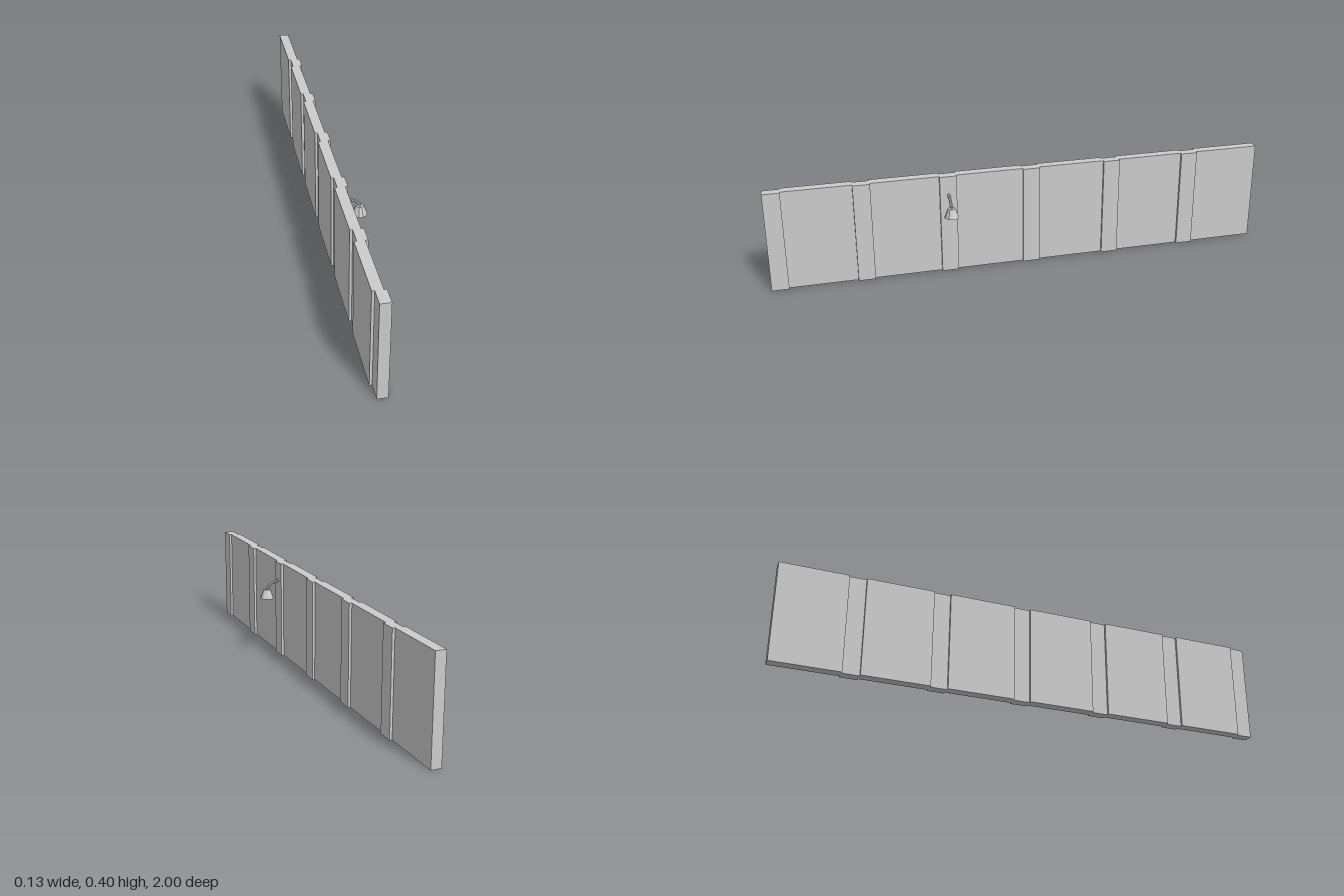
import * as THREE from 'three';

const material = new THREE.MeshStandardMaterial({ color: 0xcccccc, flatShading: true });

function addMesh(parent, name, geometry) {
  const mesh = new THREE.Mesh(geometry, material);
  mesh.name = name;
  parent.add(mesh);
  return mesh;
}

// Stepped wall: six bays, each a narrow rib offset from a wide panel
function wallGeometry() {
  const bays = 6, pitch = 2 / bays, rib = 0.0667;
  const height = 0.4, thickness = 0.04, panelX = -0.067, ribX = -0.057;
  const front = [], back = [];
  const addStrip = (x, z0, z1) => {
    for (const z of [z0, z1]) {
      back.push(new THREE.Vector2(x, -z));
      front.push(new THREE.Vector2(x + thickness, -z));
    }
  };
  for (let i = 0; i < bays; i++) {
    const z = 1 - i * pitch;
    addStrip(ribX, z, z - rib);
    addStrip(panelX, z - rib, z - pitch);
  }
  const plan = new THREE.Shape([...front, ...back.reverse()]);
  return new THREE.ExtrudeGeometry(plan, { depth: height, bevelEnabled: false }).rotateX(-Math.PI / 2);
}

export function createModel() {
  const model = new THREE.Group();
  model.name = 'wallWithLamp';
  addMesh(model, 'wall', wallGeometry());

  // Lamp mounted on the second rib
  const lamp = new THREE.Group();
  lamp.name = 'wallLamp';
  lamp.position.z = 0.3;
  model.add(lamp);

  // Bent arm
  const path = new THREE.CatmullRomCurve3([
    [-0.02, 0.325], [0.014, 0.313], [0.028, 0.302], [0.035, 0.287],
  ].map(([x, y]) => new THREE.Vector3(x, y, 0)));
  addMesh(lamp, 'lampArm', new THREE.TubeGeometry(path, 5, 0.0058, 8));

  // Faceted shade
  const shade = addMesh(lamp, 'lampShade',
    new THREE.CylinderGeometry(0.0147, 0.0287, 0.037, 10, 1, false, Math.PI / 2));
  shade.position.set(0.0345, 0.2705, 0);
  return model;
}
